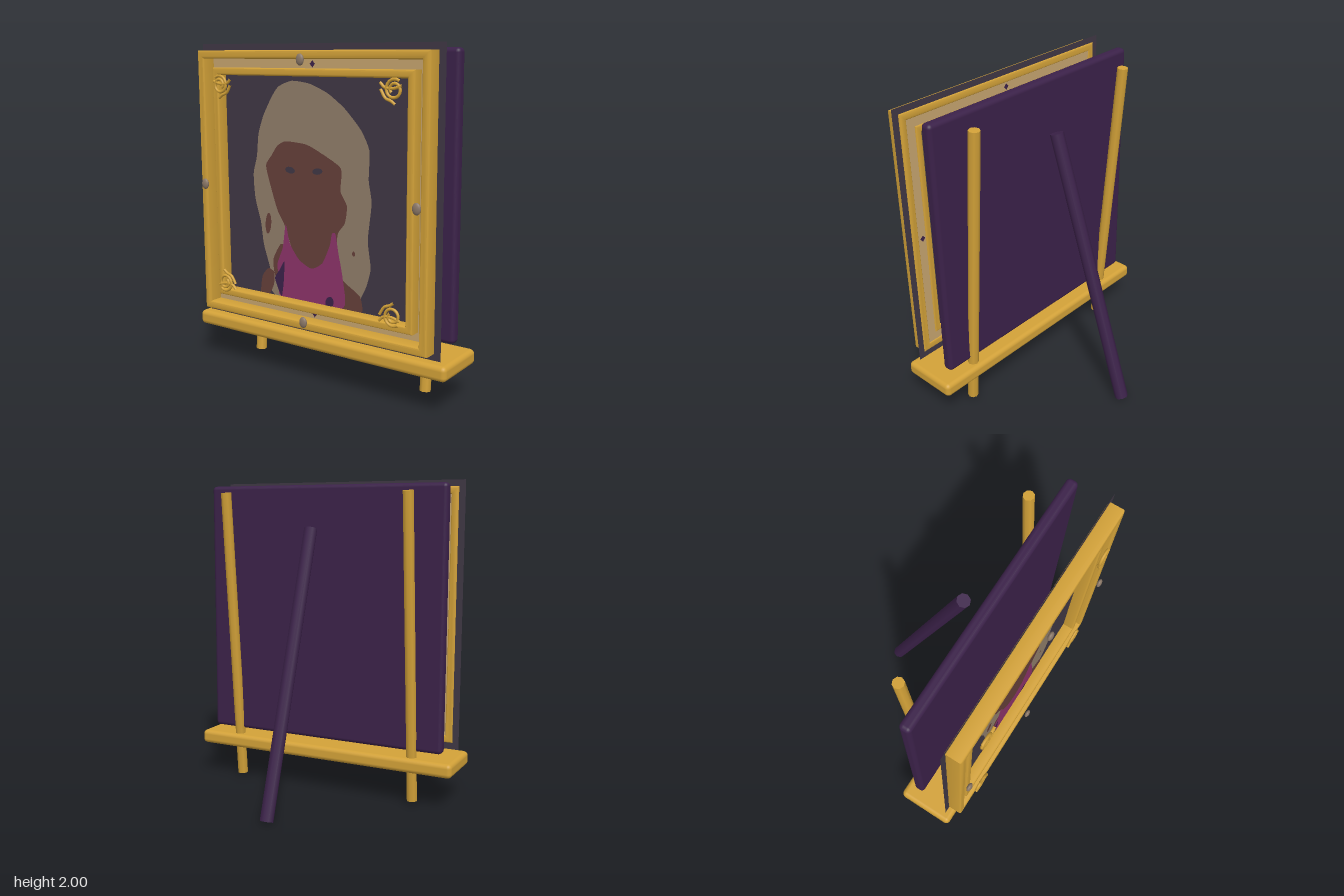
import * as THREE from 'three';
import { toCreasedNormals } from 'three/addons/utils/BufferGeometryUtils.js';
import { RoundedBoxGeometry } from 'three/addons/geometries/RoundedBoxGeometry.js';

const mat = (name, color, side = THREE.FrontSide) => {
  const m = new THREE.MeshStandardMaterial({ color, side });
  m.name = name;
  return m;
};

const CY = 1.156;        // centre height of the picture
const PICTURE_Z = 0.438; // depth of the painted panel

export function createModel() {
  const gold = mat('gold', 0xd2a138);
  const purple = mat('dark purple', 0x3b2149);
  const dark = mat('charcoal', 0x3f3744, THREE.DoubleSide);
  const beige = mat('beige', 0xc5a46e);
  const blond = mat('ash blond', 0x8f7d69);
  const skin = mat('brown skin', 0x653f39);
  const magenta = mat('magenta', 0x8c3369);
  const stone = mat('grey stone', 0x8a7767);

  const model = new THREE.Group();
  const add = (name, geometry, material, parent = model) => {
    const mesh = new THREE.Mesh(geometry, material);
    mesh.name = name;
    parent.add(mesh);
    return mesh;
  };
  const box = (name, material, x0, x1, y0, y1, z0, z1, r) =>
    add(name, new RoundedBoxGeometry(x1 - x0, y1 - y0, z1 - z0, 3, r), material)
      .position.set((x0 + x1) / 2, (y0 + y1) / 2, (z0 + z1) / 2);
  const rod = (name, material, r, a, b) => {
    const dir = new THREE.Vector3().subVectors(b, a);
    const m = add(name, new THREE.CylinderGeometry(r, r, dir.length(), 8), material);
    m.position.addVectors(a, b).multiplyScalar(0.5);
    m.quaternion.setFromUnitVectors(new THREE.Vector3(0, 1, 0), dir.normalize());
  };

  // Easel: shelf, back board, two leaning legs and the rear prop
  box('shelf', gold, -0.9, 0.9, 0.212, 0.302, 0.12, 0.487, 0.028);
  box('backBoard', purple, -0.82, 0.82, 0.34, 1.975, 0.173, 0.243, 0.025);
  for (const x of [-0.625, 0.625])
    rod('frontLeg', gold, 0.034, new THREE.Vector3(x, 0.015, 0.208), new THREE.Vector3(x, 1.928, 0.045));
  rod('rearProp', purple, 0.042, new THREE.Vector3(0, 0.013, -0.527), new THREE.Vector3(0, 1.705, 0.03));

  // Square frame rings with rounded edges
  const square = (h, S = THREE.Shape) => {
    const s = new S();
    s.moveTo(-h, -h); s.lineTo(h, -h); s.lineTo(h, h); s.lineTo(-h, h); s.closePath();
    return s;
  };
  const ring = (name, outer, inner, z0, z1, bevel) => {
    const shape = square(outer - bevel);
    shape.holes.push(square(inner + bevel, THREE.Path));
    const g = new THREE.ExtrudeGeometry(shape, {
      depth: z1 - z0 - 2 * bevel, bevelEnabled: true, bevelSize: bevel, bevelThickness: bevel, bevelSegments: 3,
    });
    add(name, toCreasedNormals(g, 0.7), gold).position.set(0, CY, z0 + bevel);
  };
  ring('outerFrame', 0.806, 0.757, 0.43, 0.53, 0.013);
  ring('innerFrame', 0.705, 0.661, 0.43, 0.51, 0.011);

  // Painted panel, with its layers on both faces
  const picture = new THREE.Group();
  picture.name = 'picture';
  picture.position.z = PICTURE_Z;
  model.add(picture);
  const paint = (name, shape, material, layer, y = 0) => {
    const g = new THREE.ShapeGeometry(shape, 16);
    const front = add(name, g, material, picture);
    front.position.set(0, y, layer * 0.001);
    const back = add(name + 'Back', g.clone().scale(-1, 1, 1), material, picture);
    back.position.set(0, y, -layer * 0.001);
    back.rotation.y = Math.PI;
    // reverse the corners after mirroring, so the back faces outward
    const idx = back.geometry.index;
    for (let i = 0; i < idx.count; i += 3) {
      const t = idx.getX(i);
      idx.setX(i, idx.getX(i + 1));
      idx.setX(i + 1, t);
    }
  };
  const outline = (pts) => new THREE.Shape(
    new THREE.CatmullRomCurve3(pts.map(([x, y]) => new THREE.Vector3(x, y, 0)), true, 'catmullrom', 0.3)
      .getPoints(pts.length * 4).slice(0, -1).map((p) => new THREE.Vector2(p.x, p.y)));
  const oval = (x, y, rx, ry, rot = 0) => {
    const s = new THREE.Shape();
    s.absellipse(x, y, rx, ry, 0, Math.PI * 2, false, rot);
    return s;
  };

  add('panel', new THREE.PlaneGeometry(1.692, 1.69), dark, picture).position.y = 1.155;
  const mount = square(0.76);
  mount.holes.push(square(0.70, THREE.Path));
  paint('mount', mount, beige, 1, CY);

  paint('hair', outline([
    [-0.30, 0.49], [-0.34, 0.66], [-0.385, 0.80], [-0.405, 0.94], [-0.445, 1.08], [-0.455, 1.23], [-0.425, 1.34],
    [-0.41, 1.47], [-0.37, 1.58], [-0.305, 1.69], [-0.25, 1.755], [-0.15, 1.79], [-0.02, 1.775], [0.105, 1.725],
    [0.22, 1.645], [0.33, 1.53], [0.385, 1.42], [0.38, 1.26], [0.40, 1.13], [0.375, 0.92], [0.395, 0.76],
    [0.365, 0.65], [0.33, 0.58], [0.30, 0.49],
  ]), blond, 1);
  paint('face', outline([
    [-0.355, 1.285], [-0.31, 1.35], [-0.265, 1.41], [-0.2, 1.44], [-0.05, 1.43], [0.06, 1.385], [0.195, 1.31],
    [0.19, 1.18], [0.235, 1.10], [0.22, 1.0], [0.17, 0.93], [0.14, 0.75], [0.0, 0.66], [-0.13, 0.72],
    [-0.215, 0.93], [-0.27, 1.02], [-0.31, 1.13],
  ]), skin, 2);
  paint('leftShoulder', outline([[0.18, 0.67], [0.24, 0.64], [0.325, 0.585], [0.335, 0.49], [0.18, 0.49]]), skin, 2);
  paint('rightShoulder', outline([
    [-0.415, 0.49], [-0.40, 0.60], [-0.35, 0.655], [-0.305, 0.635], [-0.31, 0.56], [-0.35, 0.49],
  ]), skin, 2);
  paint('rightArm', outline([[-0.31, 0.72], [-0.25, 0.82], [-0.2, 0.78], [-0.22, 0.52], [-0.3, 0.62]]), skin, 2);
  paint('top', outline([
    [-0.21, 0.945], [-0.18, 0.83], [-0.11, 0.74], [-0.02, 0.70], [0.06, 0.745], [0.115, 0.86], [0.13, 0.93],
    [0.155, 0.93], [0.175, 0.82], [0.205, 0.67], [0.2, 0.49], [-0.25, 0.49], [-0.265, 0.6], [-0.28, 0.69],
    [-0.235, 0.80],
  ]), magenta, 3);
  paint('topShade', outline([[-0.225, 0.715], [-0.26, 0.66], [-0.3, 0.60], [-0.25, 0.495], [-0.23, 0.6]]), purple, 4);
  paint('topFold', oval(0.11, 0.515, 0.028, 0.038, -0.4), purple, 4);
  paint('hairGap', oval(-0.345, 0.935, 0.022, 0.065, -0.1), skin, 2);
  paint('hairGap', oval(0.28, 0.83, 0.01, 0.015), skin, 2);
  paint('eye', oval(-0.17, 1.273, 0.036, 0.019, -0.1), dark, 4);
  paint('eye', oval(0.03, 1.28, 0.036, 0.018, 0.15), dark, 4);

  // Stone studs on the frame, each with a painted diamond on the panel
  for (const [x, y] of [[0, 1.91], [0, 0.405], [-0.75, CY], [0.75, CY]]) {
    const stud = add('stud', new THREE.SphereGeometry(1, 20, 14), stone);
    stud.scale.set(0.026, 0.033, 0.014);
    stud.position.set(x, y, 0.552);
    const k = x ? 0.728 / 0.75 : 1;
    const cy = x ? y : CY + Math.sign(y - CY) * 0.73;
    paint('diamond', new THREE.Shape([[0, -0.02], [0.018, 0], [0, 0.02], [-0.018, 0]]
      .map(([dx, dy]) => new THREE.Vector2(x * k + dx, cy + dy))), purple, 2);
  }

  // Corner scrolls: a spiral curl and two sweeping tendrils, turned into every corner
  const tube = (pts, sx, sy, parent) => add('scroll', new THREE.TubeGeometry(
    new THREE.CatmullRomCurve3(pts.map(([x, y]) => new THREE.Vector3(x * sx, y * sy, 0))),
    48, 0.0085, 8), gold, parent);
  const spiral = [];
  for (let i = 0; i <= 20; i++) {
    const a = 0.9 + i * 0.47, r = 0.055 - i * 0.0016;
    spiral.push([0.607 + r * Math.cos(a), 0.605 + r * Math.sin(a)]);
  }
  for (const sx of [-1, 1]) for (const sy of [-1, 1]) {
    const corner = new THREE.Group();
    corner.name = 'cornerScroll';
    corner.position.set(0, CY, 0.549);
    model.add(corner);
    tube(spiral, sx, sy, corner);
    tube([[0.655, 0.625], [0.60, 0.61], [0.55, 0.615], [0.522, 0.64]], sx, sy, corner);
    tube([[0.525, 0.605], [0.555, 0.56], [0.59, 0.545], [0.615, 0.527]], sx, sy, corner);
  }
  return model;
}
